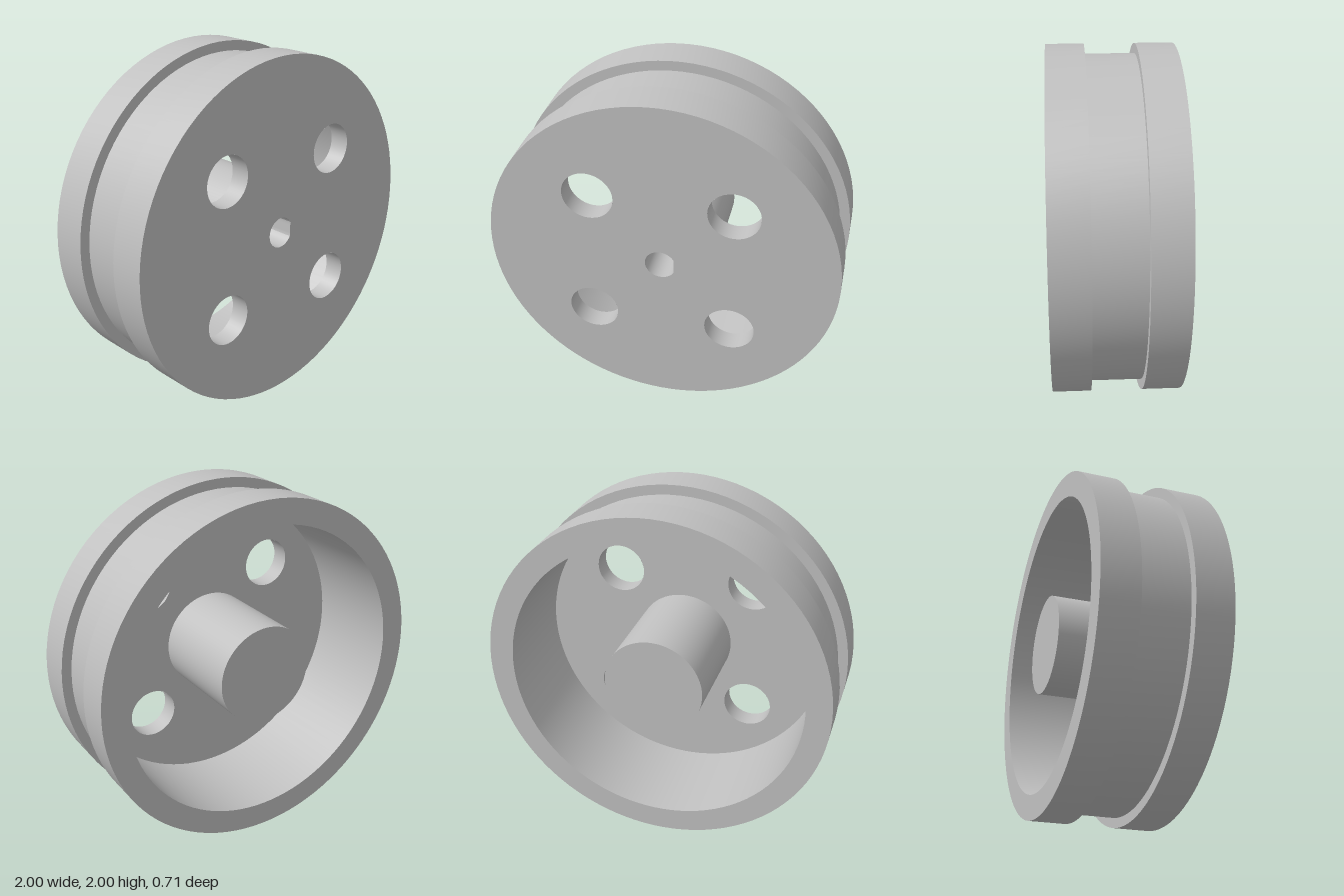
import * as THREE from 'three';
import { toCreasedNormals } from 'three/addons/utils/BufferGeometryUtils.js';

const FRONT = 0.357, BACK = -0.357, FLOOR = 0.24; // z of front face, rear edge, web inner face
const RIM = 1, GROOVE = 0.943, INNER = 0.857, HUB = 0.286;
const HOLE = 0.145, HOLE_POS = 0.404;
const BORE = 0.088, FLAT = 0.078, BORE_END = -0.2;
const SEG = 96;

// Surface of revolution about z from [radius, z] points, with sharp profile corners
function revolve(points) {
  const profile = points.map(([r, z]) => new THREE.Vector2(r, z));
  return toCreasedNormals(new THREE.LatheGeometry(profile, SEG).rotateX(Math.PI / 2), 0.5);
}

// Open cylindrical wall along z
function wall(radius, z0, z1) {
  return new THREE.CylinderGeometry(radius, radius, z1 - z0, 48, 1, true)
    .rotateX(Math.PI / 2).translate(0, 0, (z0 + z1) / 2);
}

function circle(x, y, r, Type = THREE.Path) {
  const path = new Type();
  path.absarc(x, y, r, 0, Math.PI * 2, false);
  return path;
}

// Round outline cut by a flat on the +x side
function dOutline(Type) {
  const a = Math.acos(FLAT / BORE), path = new Type();
  path.absarc(0, 0, BORE, a, Math.PI * 2 - a, false);
  path.closePath();
  return path;
}

export function createModel() {
  const model = new THREE.Group();
  model.name = 'wheel';
  const grey = new THREE.MeshStandardMaterial({ color: 0xc0c0c0, side: THREE.DoubleSide });
  grey.name = 'light grey';

  const wheel = new THREE.Group();
  wheel.name = 'wheelBody';
  wheel.position.y = 1;
  model.add(wheel);

  const add = (name, geometry) => {
    const mesh = new THREE.Mesh(geometry, grey);
    mesh.name = name;
    wheel.add(mesh);
    return mesh;
  };

  const centres = [[1, 1], [-1, 1], [-1, -1], [1, -1]].map(([x, y]) => [x * HOLE_POS, y * HOLE_POS]);

  // Rim with its tyre groove and hollow rear
  add('rim', revolve([
    [INNER, FLOOR], [INNER, BACK], [RIM, BACK], [RIM, -0.143],
    [GROOVE, -0.143], [GROOVE, 0.143], [RIM, 0.143], [RIM, FRONT],
  ]));

  // Front and inner faces of the web
  const front = circle(0, 0, RIM, THREE.Shape);
  const floor = circle(0, 0, INNER, THREE.Shape);
  for (const [x, y] of centres) {
    front.holes.push(circle(x, y, HOLE));
    floor.holes.push(circle(x, y, HOLE));
  }
  front.holes.push(dOutline(THREE.Path));
  floor.holes.push(circle(0, 0, HUB));
  add('webFront', new THREE.ShapeGeometry(front, SEG / 2)).position.z = FRONT;
  add('webBack', new THREE.ShapeGeometry(floor, SEG / 2).rotateY(Math.PI)).position.z = FLOOR;

  // Walls of the four through holes
  for (const [x, y] of centres) add('holeWall', wall(HOLE, FLOOR, FRONT)).position.set(x, y, 0);

  // Solid hub, flush with the rear edge of the rim
  add('hub', revolve([[0, BACK], [HUB, BACK], [HUB, FLOOR]]));

  // Blind axle bore: a round wall pressed flat on one side, and its end
  const bore = wall(BORE, BORE_END, FRONT);
  const p = bore.attributes.position;
  for (let i = 0; i < p.count; i++) p.setX(i, Math.min(p.getX(i), FLAT));
  add('axleBore', toCreasedNormals(bore, 0.3));
  add('axleBoreEnd', new THREE.ShapeGeometry(dOutline(THREE.Shape), 48)).position.z = BORE_END;

  return model;
}
